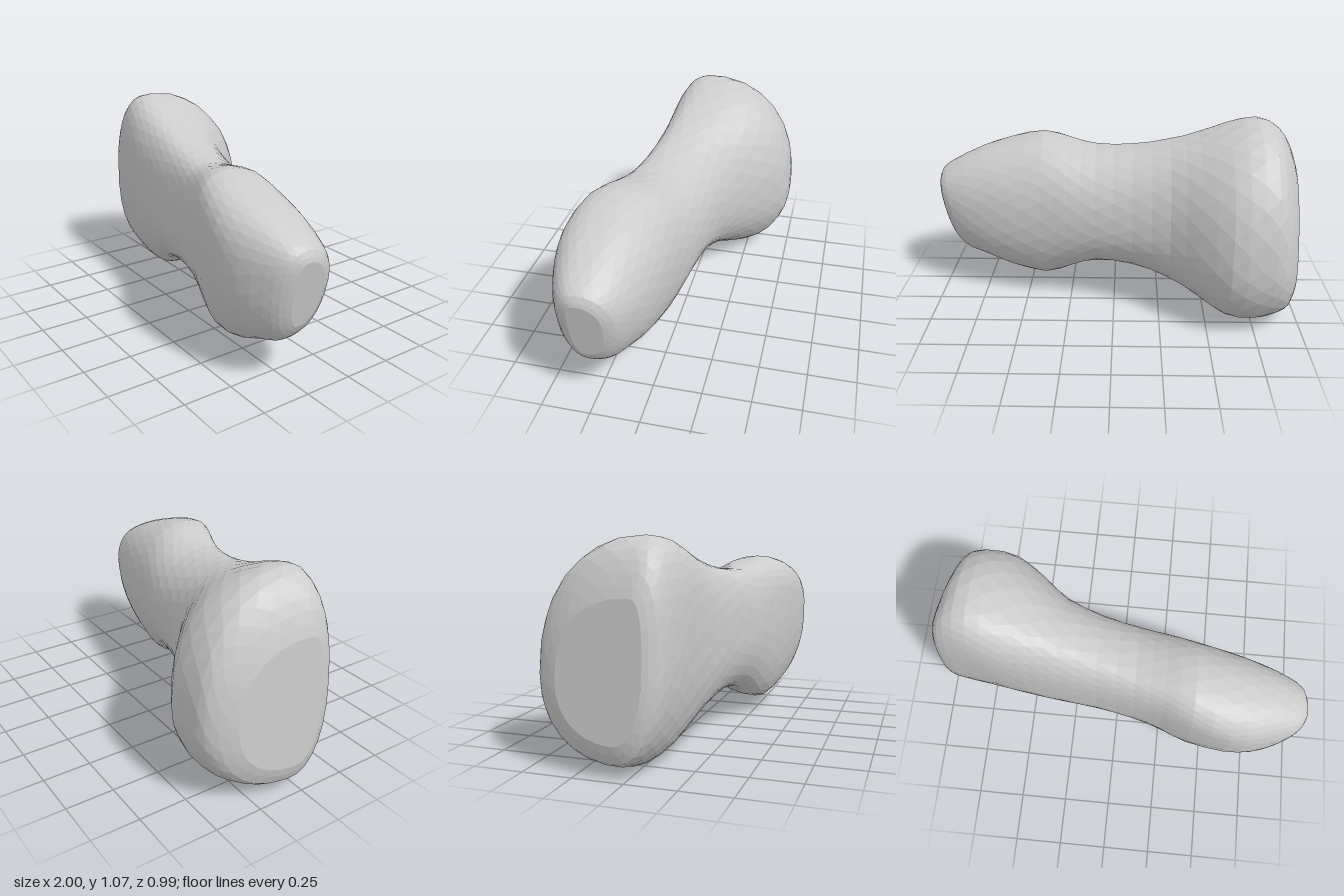
import * as THREE from 'three';

const { smoothstep, lerp } = THREE.MathUtils;

// Extents of the cross-sections along the bone: x, bottom y, top y, back z, front z
const SECTIONS = [
  [-0.985, 0.16, 0.81, -0.35, 0.09],
  [-0.95, 0.07, 0.92, -0.43, 0.15],
  [-0.88, 0.035, 1.015, -0.475, 0.185],
  [-0.75, 0.0, 1.07, -0.495, 0.215],
  [-0.60, 0.015, 1.035, -0.48, 0.24],
  [-0.45, 0.10, 0.975, -0.375, 0.26],
  [-0.30, 0.165, 0.925, -0.25, 0.28],
  [-0.10, 0.21, 0.88, -0.17, 0.305],
  [0.10, 0.205, 0.865, -0.125, 0.345],
  [0.25, 0.145, 0.89, -0.095, 0.39],
  [0.40, 0.08, 0.915, -0.06, 0.45],
  [0.60, 0.12, 0.87, -0.02, 0.49],
  [0.75, 0.18, 0.82, 0.02, 0.475],
  [0.88, 0.21, 0.745, 0.07, 0.425],
  [0.945, 0.26, 0.70, 0.11, 0.38],
  [0.972, 0.32, 0.65, 0.16, 0.33],
];
const SIDES = 28;
const STEPS = 2; // rings per section

// Smooth blend between neighbouring sections
function sectionAt(t) {
  const last = SECTIONS.length - 1;
  const i = Math.min(Math.floor(t), last - 1);
  const f = t - i;
  const row = (k) => SECTIONS[Math.max(0, Math.min(last, k))];
  return row(i).map((b, k) => {
    const a = row(i - 1)[k], c = row(i + 1)[k], d = row(i + 2)[k];
    return b + 0.5 * f * (c - a + f * (2 * a - 5 * b + 4 * c - d + f * (3 * (b - c) + d - a)));
  });
}

const bump = (x, centre, width) => Math.exp(-(((x - centre) / width) ** 2));

// Lopsided rounded outline: each quadrant has its own radii
function ringPoint([x, yBottom, yTop, zBack, zFront], angle) {
  const cos = Math.cos(angle), sin = Math.sin(angle);
  // the upper front is the squarest quadrant
  const power = 2 / (cos > 0 && sin > 0 ? 2.7 : 2.2);
  const c = Math.sign(cos) * Math.abs(cos) ** power;
  const n = Math.sign(sin) * Math.abs(sin) ** power;
  // the ridge drifts forward and the widest heights shift along the bone
  const zMid = lerp(n > 0 ? 0.02 : -0.06, 0.27, smoothstep(x, -0.8, 0.6));
  const yMid = c > 0
    ? 0.5 + 0.17 * bump(x, 0.45, 0.28) + 0.17 * bump(x, -0.7, 0.2)
    : lerp(0.43, 0.51, smoothstep(x, -0.7, 0));
  const z = zMid + c * (c > 0 ? zFront - zMid : zMid - zBack);
  const y = yMid + n * (n > 0 ? yTop - yMid : yMid - yBottom);
  // both joint faces are tilted, the large one also turned toward the back
  const small = smoothstep(x, 0.7, 0.96), large = smoothstep(-x, 0.8, 0.97);
  return [x + (0.2 * small + 0.05 * large) * (y - 0.5) - 0.12 * large * z, y, z];
}

function boneGeometry() {
  const positions = [], index = [];
  const rings = (SECTIONS.length - 1) * STEPS + 1;
  for (let i = 0; i < rings; i++) {
    const section = sectionAt(i / STEPS);
    for (let j = 0; j < SIDES; j++) {
      // alternate rings are turned half a step for an irregular faceted look
      const angle = ((j + (i % 2) * 0.5) / SIDES) * Math.PI * 2;
      positions.push(...ringPoint(section, angle));
    }
  }
  // skin between rings
  for (let i = 0; i < rings - 1; i++) {
    for (let j = 0; j < SIDES; j++) {
      const k = (j + 1) % SIDES;
      const a = i * SIDES + j, b = a + SIDES, c = i * SIDES + k, d = c + SIDES;
      if (i % 2 === 0) index.push(a, b, c, b, d, c);
      else index.push(a, b, d, a, d, c);
    }
  }
  // joint faces closing both ends, each centred on the mean of its ring
  for (const end of [0, rings - 1]) {
    const start = end * SIDES;
    const centre = positions.length / 3;
    const mean = [0, 0, 0];
    for (let j = 0; j < SIDES * 3; j++) mean[j % 3] += positions[start * 3 + j] / SIDES;
    positions.push(...mean);
    for (let j = 0; j < SIDES; j++) {
      const a = start + j, b = start + ((j + 1) % SIDES);
      if (end === 0) index.push(centre, a, b);
      else index.push(centre, b, a);
    }
  }
  const geometry = new THREE.BufferGeometry();
  geometry.setAttribute('position', new THREE.Float32BufferAttribute(positions, 3));
  geometry.setIndex(index);
  geometry.computeVertexNormals();
  return geometry;
}

export function createModel() {
  const group = new THREE.Group();
  group.name = 'bone';
  const material = new THREE.MeshStandardMaterial({ color: 0xcccccc, flatShading: true });
  const body = new THREE.Mesh(boneGeometry(), material);
  body.name = 'boneBody';
  group.add(body);
  return group;
}
